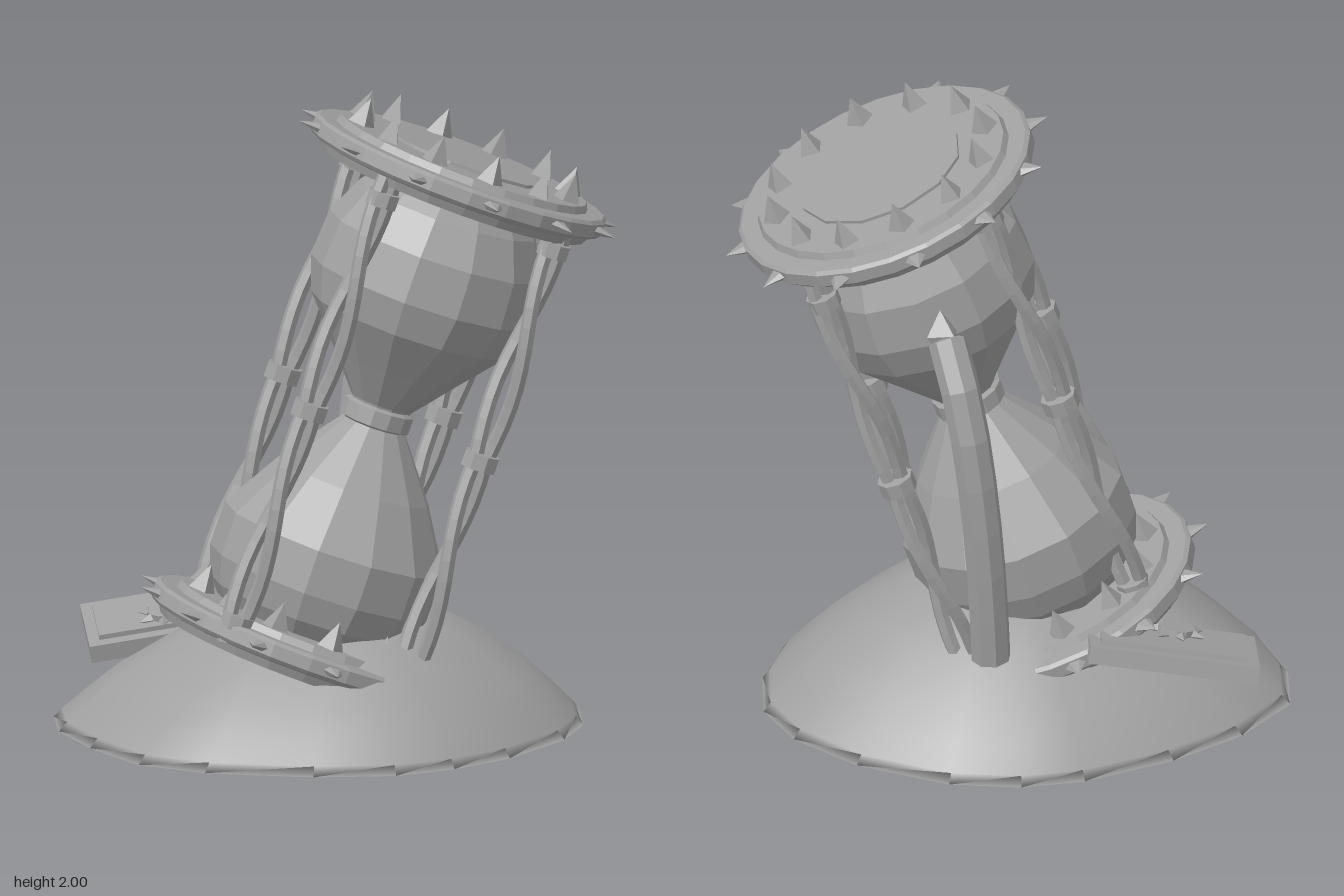
import * as THREE from 'three';

const stone = new THREE.MeshStandardMaterial({ color: 0xa0a0a0 });
stone.name = 'grey stone';

// Faceted geometry: unshared corners give flat normals
function flat(geo) {
  const g = geo.index ? geo.toNonIndexed() : geo;
  g.computeVertexNormals();
  return g;
}

function add(parent, name, geo, x = 0, y = 0, z = 0) {
  const m = new THREE.Mesh(geo, stone);
  m.name = name;
  m.position.set(x, y, z);
  parent.add(m);
  return m;
}

function group(parent, name, x = 0, y = 0, z = 0) {
  const g = new THREE.Group();
  g.name = name;
  g.position.set(x, y, z);
  parent.add(g);
  return g;
}

const drum = (r, h, sides) => flat(new THREE.CylinderGeometry(r, r, h, sides));
const lathe = (pts, sides) =>
  flat(new THREE.LatheGeometry(pts.map(([r, y]) => new THREE.Vector2(r, y)), sides));

// Mound: the rim outline shrinks ring by ring up to the crown; base shares the rim
function buildMound(root) {
  const rim = [[-.85, -.2], [-.8, -.4], [-.6, -.56], [-.35, -.66], [-.05, -.715], [.15, -.7], [.36, -.62],
    [.6, -.42], [.74, -.2], [.78, 0], [.72, .22], [.6, .4], [.36, .59], [.15, .68], [-.05, .71],
    [-.3, .65], [-.6, .49], [-.76, .32], [-.83, .05]];
  const profile = [[1, 0], [.97, .03], [.88, .1], [.77, .18], [.57, .29], [.38, .37], [.16, .405]];
  const n = rim.length, pos = [], idx = [];
  for (const [s, y] of profile) for (const [x, z] of rim) pos.push(x * s, y, z * s);
  const crown = profile.length * n, foot = crown + 1;
  pos.push(0, .415, 0, 0, 0, 0);
  for (let i = 0; i < n; i++) {
    const k = (i + 1) % n, top = crown - n;
    for (let a = i, b = k; a < top; a += n, b += n) idx.push(b, a, a + n, b, a + n, b + n);
    idx.push(top + k, top + i, crown, i, k, foot);
  }
  const g = new THREE.BufferGeometry();
  g.setAttribute('position', new THREE.Float32BufferAttribute(pos, 3));
  g.setIndex(idx);
  g.computeVertexNormals();
  add(root, 'mound', g);
}

// Stepped round plate with twelve upright and twelve rim spikes
function buildPlate(root, name, x, y, z) {
  const plate = group(root, name, x, y, z);
  plate.rotation.set(.03, 0, -.366);
  add(plate, 'plateBody', lathe([[0, -.072], [.435, -.072], [.45, -.045], [.47, -.04], [.482, -.028],
    [.482, .012], [.47, .022], [.415, .022], [.405, .044], [0, .044]], 24));
  add(plate, 'innerDisc', drum(.265, .02, 12), 0, .044, 0);
  const upright = flat(new THREE.ConeGeometry(.045, .09, 4));
  const outward = flat(new THREE.ConeGeometry(.043, .085, 6).rotateZ(-Math.PI / 2).scale(1, .5, 1));
  for (let i = 0; i < 12; i++) {
    const arm = group(plate, 'spikePair');
    arm.rotation.y = -.1 + i * Math.PI / 6;
    add(arm, 'topSpike', upright, .35, .086, 0);
    add(arm, 'rimSpike', outward, .5, -.008, 0);
  }
}

// Post: two strands wound round each other, held by collars
class Strand extends THREE.Curve {
  constructor(phase) { super(); this.phase = phase; }
  getPoint(t, out = new THREE.Vector3()) {
    const r = .018 + .026 * Math.abs(Math.sin(t * Math.PI * 2));
    const a = this.phase + t * Math.PI * 2;
    return out.set(r * Math.cos(a), -.77 + 1.54 * t, r * Math.sin(a));
  }
}

function buildPosts(frame) {
  const strands = [0, Math.PI].map(phase =>
    flat(new THREE.TubeGeometry(new Strand(phase), 24, .024, 6)));
  const collar = drum(.058, .05, 8);
  const cap = drum(.052, .045, 8);
  for (const [x, z] of [[.24, .33], [-.33, .27], [-.23, -.28], [.34, -.32]]) {
    const post = group(frame, 'twistedPost', x, 0, z);
    strands.forEach(s => add(post, 'strand', s));
    add(post, 'middleCollar', collar);
    add(post, 'topCollar', cap, 0, .7, 0);
    add(post, 'bottomCollar', cap, 0, -.7, 0);
  }
}

// Glass: two faceted bulbs joined by a waist band
function buildGlass(frame) {
  add(frame, 'upperBulb', lathe([[.085, 0], [.1, .04], [.2, .16], [.32, .3], [.358, .41],
    [.348, .56], [.29, .68], [.22, .76], [0, .76]], 13));
  add(frame, 'lowerBulb', lathe([[0, -.7], [.28, -.7], [.33, -.64], [.36, -.55], [.36, -.41],
    [.245, -.22], [.1, -.03], [.085, 0]], 13));
  add(frame, 'waistBand', lathe([[.095, -.035], [.112, -.025], [.112, .025], [.095, .035]], 13));
}

// Tail: bent bar behind the glass, ending in a pointed tip
function buildTail(root) {
  const pts = [[.18, .34, -.46], [.2, .62, -.485], [.23, .93, -.495], [.26, 1.18, -.475],
    [.28, 1.33, -.42], [.29, 1.41, -.36]].map(p => new THREE.Vector3(...p));
  const path = new THREE.CatmullRomCurve3(pts);
  add(root, 'tail', flat(new THREE.TubeGeometry(path, 7, .062, 8)));
  // End caps close the bar
  const cap = flat(new THREE.SphereGeometry(.061, 8, 4).scale(1, .15, 1));
  const up = new THREE.Vector3(0, 1, 0);
  [[0, pts[0]], [1, pts[5]]].forEach(([t, p]) =>
    add(root, 'tailEnd', cap, p.x, p.y, p.z).quaternion.setFromUnitVectors(up, path.getTangent(t)));
  const tip = add(root, 'tailTip', flat(new THREE.OctahedronGeometry(.06).scale(1, 1.3, 1)), .3, 1.42, -.33);
  tip.rotation.set(.3, .4, 0);
}

// Plaque: framed slab resting on the mound, with a small spiked boss
function buildPlaque(root) {
  const holder = group(root, 'plaque', -.405, .27, -.445);
  holder.quaternion.setFromUnitVectors(new THREE.Vector3(0, 1, 0),
    new THREE.Vector3(-.2, 1, .15).normalize());
  const slab = group(holder, 'plaqueSlab');
  slab.rotation.y = -.24;
  add(slab, 'plaqueBack', flat(new THREE.BoxGeometry(.53, .055, .33)));
  add(slab, 'plaqueFace', flat(new THREE.BoxGeometry(.46, .03, .25)), 0, .028, 0);
  const boss = group(slab, 'boss', -.01, .048, .05);
  add(boss, 'bossDisc', drum(.058, .03, 12));
  const spike = flat(new THREE.ConeGeometry(.018, .04, 4).rotateZ(-Math.PI / 2));
  for (let i = 0; i < 7; i++) {
    const arm = group(boss, 'bossArm');
    arm.rotation.y = i * Math.PI * 2 / 7;
    add(arm, 'bossSpike', spike, .078, 0, 0);
  }
}

export function createModel() {
  const root = new THREE.Group();
  root.name = 'spikedHourglass';
  buildMound(root);
  buildPlate(root, 'topPlate', .365, 1.75, .075);
  buildPlate(root, 'bottomPlate', -.13, .29, 0);
  // Leaning frame centred on the waist
  const frame = group(root, 'leaningFrame', .11, .99, .04);
  frame.rotation.set(.045, 0, -.332);
  buildGlass(frame);
  buildPosts(frame);
  buildTail(root);
  buildPlaque(root);
  return root;
}
